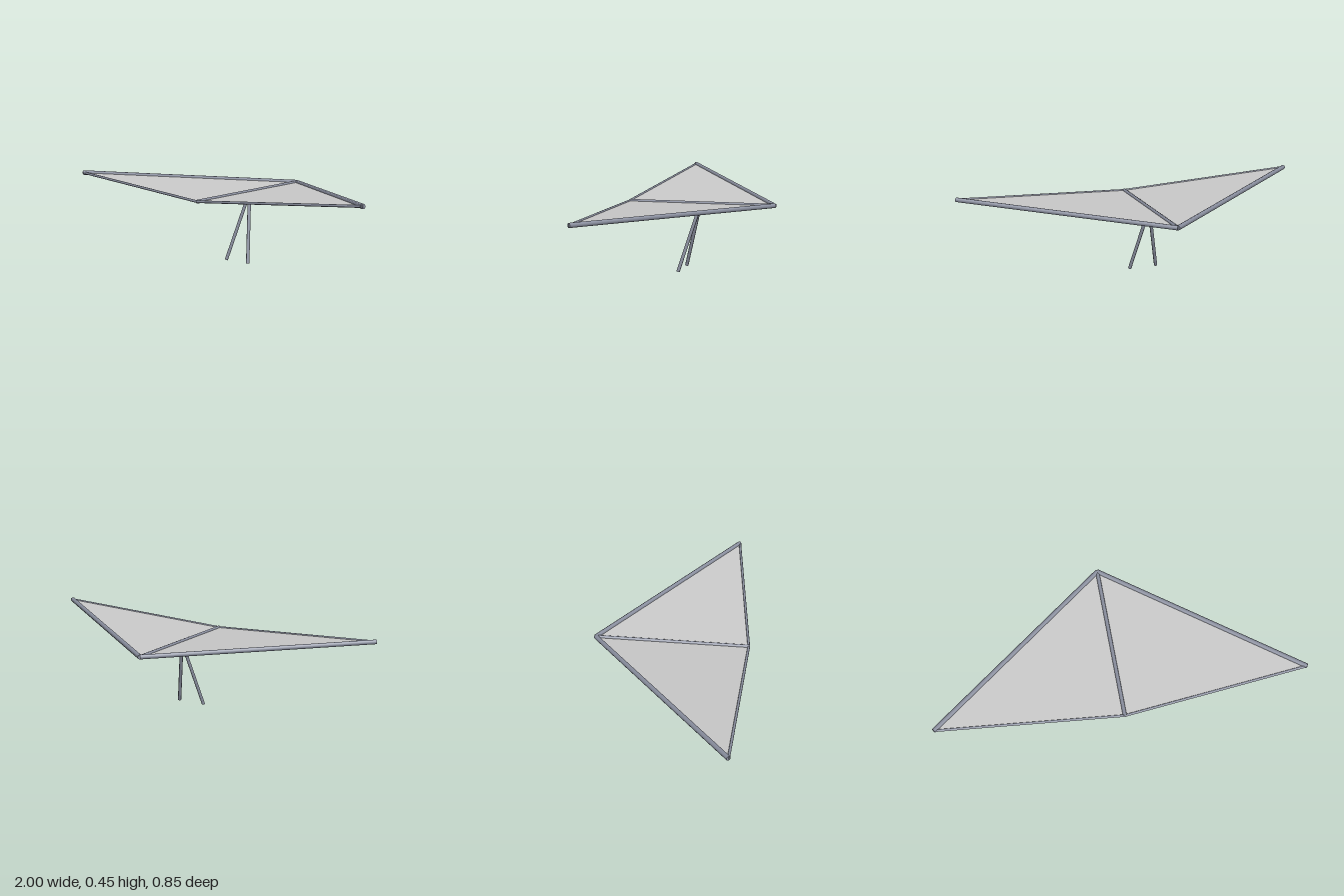
import * as THREE from 'three';

const tubeMat = new THREE.MeshStandardMaterial({ color: 0x8b90a0 });
const sailMat = new THREE.MeshStandardMaterial({ color: 0xcccccc, side: THREE.DoubleSide });

// Straight round bar between two points
function bar(name, a, b, radius) {
  const dir = b.clone().sub(a);
  const mesh = new THREE.Mesh(new THREE.CylinderGeometry(radius, radius, dir.length(), 8), tubeMat);
  mesh.position.copy(a).add(b).multiplyScalar(0.5);
  mesh.quaternion.setFromUnitVectors(new THREE.Vector3(0, 1, 0), dir.normalize());
  mesh.name = name;
  return mesh;
}

export function createModel() {
  const group = new THREE.Group();
  group.name = 'hangGlider';
  const v = (x, y, z) => new THREE.Vector3(x, y, z);
  const nose = v(0, 0.389, -0.416);
  const tail = v(0, 0.369, 0.415);

  // Central keel
  group.add(bar('keel', nose, tail, 0.0105));

  for (const s of [1, -1]) {
    const side = s > 0 ? 'left' : 'right';
    const tip = v(s * 0.99, 0.435, 0.338);

    // Wing frame
    group.add(bar(side + 'LeadingEdge', nose, tip, 0.013));
    group.add(bar(side + 'TrailingEdge', tail, tip, 0.007));

    // Flat sail panel, wound to face up
    const corners = s > 0 ? [nose, tail, tip] : [nose, tip, tail];
    const geo = new THREE.BufferGeometry().setFromPoints(corners);
    geo.computeVertexNormals();
    const sail = new THREE.Mesh(geo, sailMat);
    sail.name = side + 'Sail';
    group.add(sail);

    // Control frame leg
    group.add(bar(side + 'Leg', v(0, 0.375, 0), v(s * 0.078, 0.003, 0.105), 0.0095));
  }
  return group;
}
